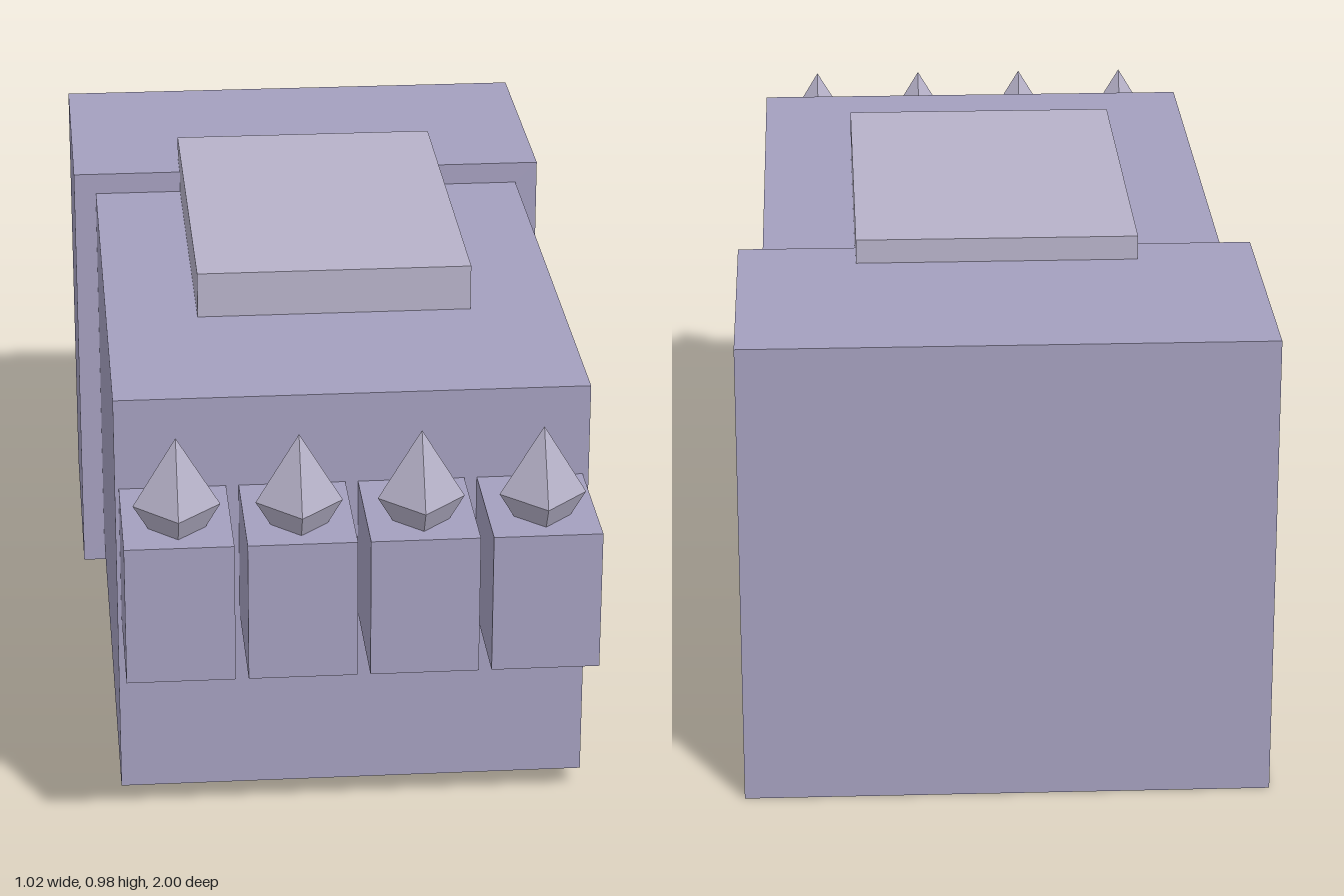
import * as THREE from 'three';

export function createModel() {
  const group = new THREE.Group();
  const mauve = new THREE.MeshStandardMaterial({ color: 0xa49fbe, flatShading: true });
  mauve.name = 'mauve';
  const paleMauve = new THREE.MeshStandardMaterial({ color: 0xb7b2c9, flatShading: true });
  paleMauve.name = 'pale mauve';

  // Box given by its extents on each axis
  function addBox(name, material, [x0, x1], [y0, y1], [z0, z1]) {
    const mesh = new THREE.Mesh(new THREE.BoxGeometry(x1 - x0, y1 - y0, z1 - z0), material);
    mesh.position.set((x0 + x1) / 2, (y0 + y1) / 2, (z0 + z1) / 2);
    mesh.name = name;
    group.add(mesh);
  }

  // Cuff, fist block and raised back plate
  addBox('cuff', mauve, [-0.51, 0.51], [0, 0.931], [-1, -0.442]);
  addBox('hand', mauve, [-0.463, 0.463], [0.048, 0.886], [-0.46, 0.721]);
  addBox('backPlate', paleMauve, [-0.278, 0.277], [0.86, 0.979], [-0.534, 0.302]);

  // Four knuckles, each with a spike sunk into its top
  for (let i = 0; i < 4; i++) {
    const x = -0.002 + (i - 1.5) * 0.2327;
    addBox('knuckle' + (i + 1), mauve, [x - 0.104, x + 0.104], [0.421, 0.7], [0.7, 1]);
    const spike = new THREE.Mesh(new THREE.OctahedronGeometry(1), paleMauve);
    spike.scale.set(0.083, 0.138, 0.083);
    spike.position.set(x, 0.747, 0.907);
    spike.name = 'spike' + (i + 1);
    group.add(spike);
  }
  return group;
}
